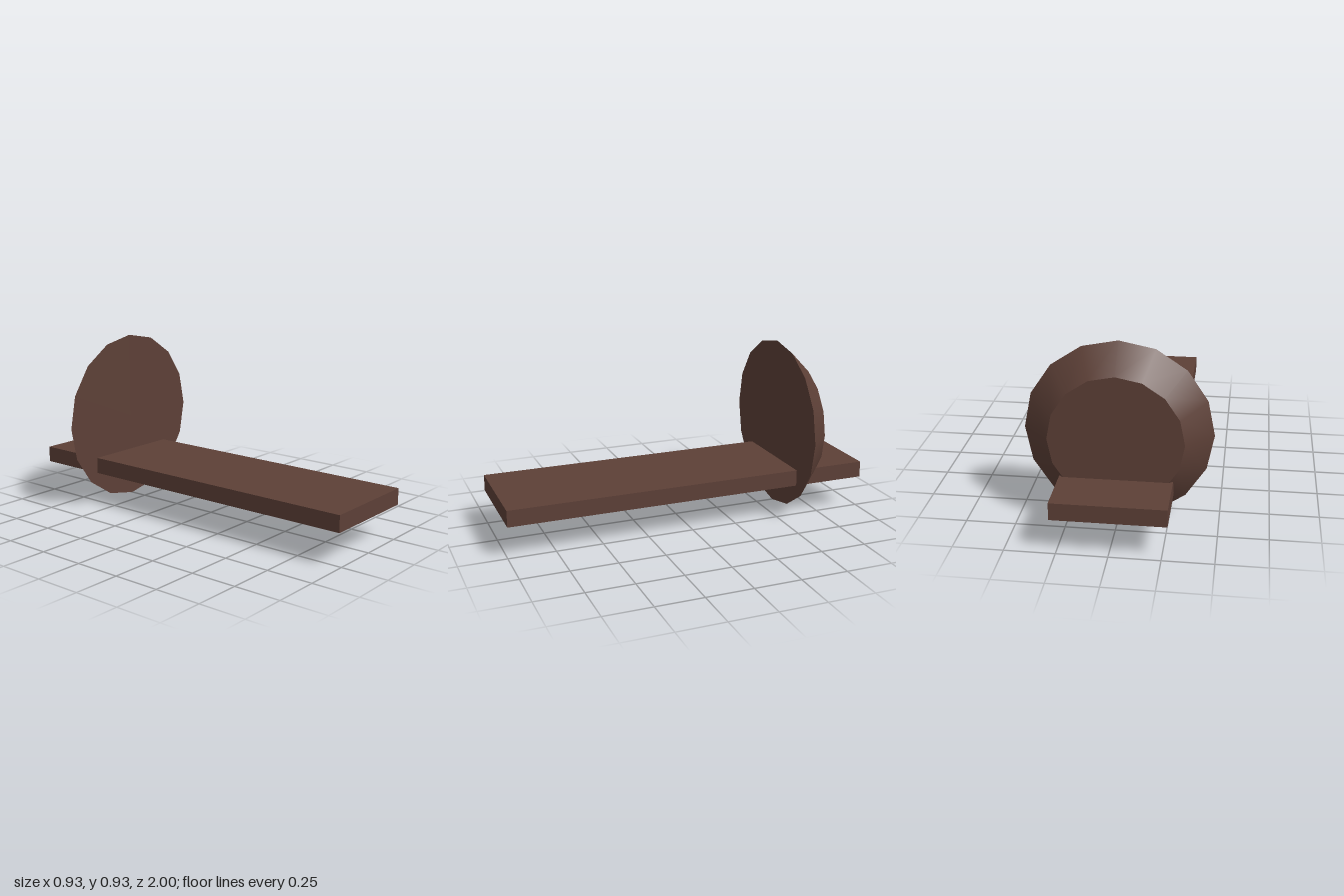
import * as THREE from 'three';

export function createModel() {
  const model = new THREE.Group();
  const darkBrown = new THREE.MeshStandardMaterial({ color: 0x5d4037 });
  darkBrown.name = 'darkBrown';

  // Long flat plank running front to back
  const plank = new THREE.Mesh(new THREE.BoxGeometry(0.556, 0.088, 2), darkBrown);
  plank.name = 'plank';
  plank.position.set(0, 0.223, 0);
  model.add(plank);

  // Upright sixteen-sided disc, wide face forward, tapering to the back
  const height = 0.133;
  const discGeometry = new THREE.CylinderGeometry(0.467, 0.333, height, 16);
  discGeometry.rotateX(Math.PI / 2);
  const disc = new THREE.Mesh(discGeometry, darkBrown);
  disc.name = 'taperedDisc';
  disc.position.set(0, 0.467, -0.6 - height / 2);
  model.add(disc);

  return model;
}
